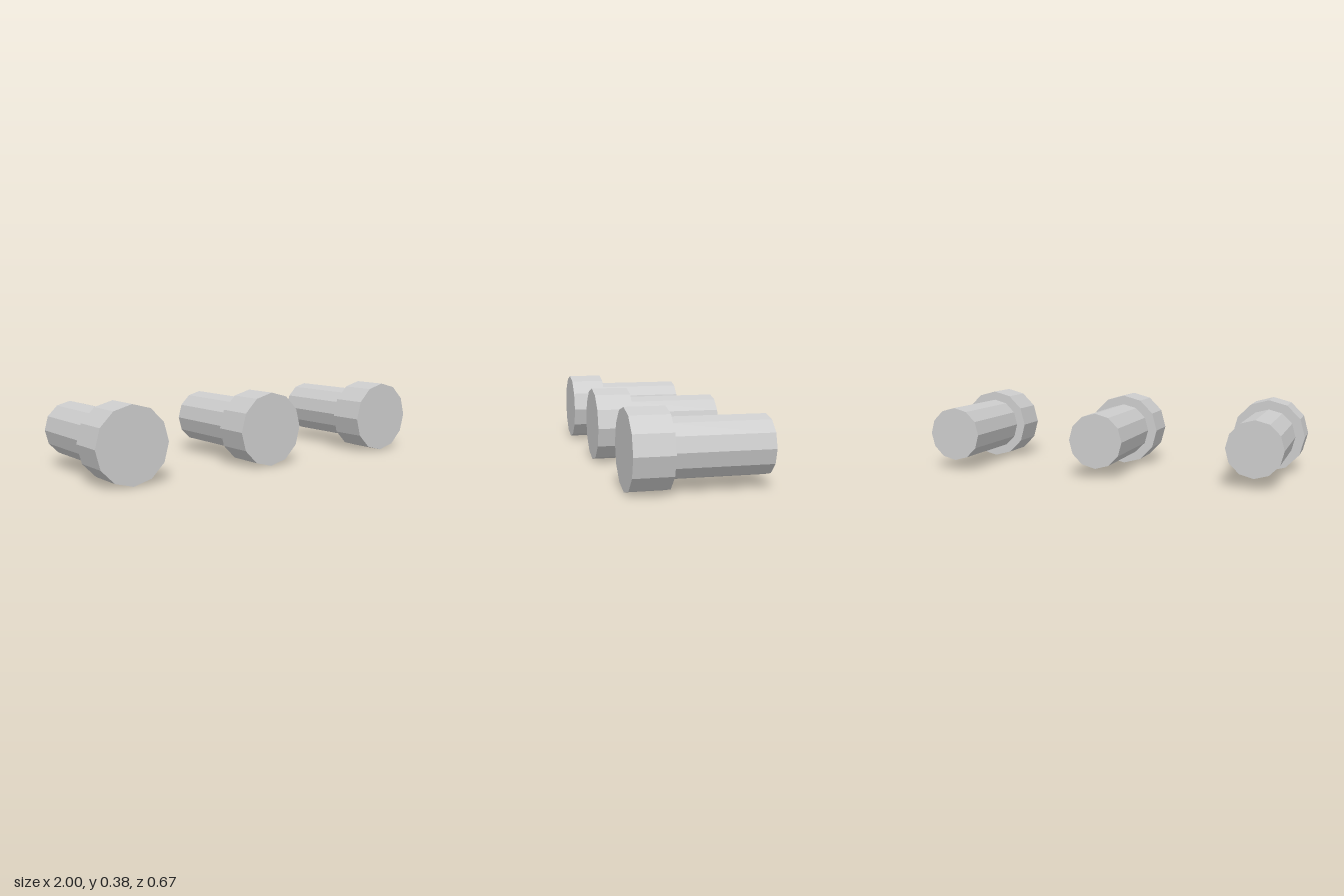
import * as THREE from 'three';

const SIDES = 12;
const HEAD_RADIUS = 0.191;
const SHAFT_RADIUS = 0.142;
const FRONT = 0.333, SHOULDER = 0.144, BACK = -0.333;
const SPACING = 0.809;

export function createModel() {
  const model = new THREE.Group();
  model.name = 'pegs';
  const material = new THREE.MeshStandardMaterial({ color: 0xcccccc, flatShading: true });

  // Twelve-sided cylinder lying along z between two depths
  const rod = (name, radius, z0, z1) => {
    const geometry = new THREE.CylinderGeometry(radius, radius, z1 - z0, SIDES);
    geometry.rotateX(Math.PI / 2);
    geometry.translate(0, 0, (z0 + z1) / 2);
    const mesh = new THREE.Mesh(geometry, material);
    mesh.name = name;
    return mesh;
  };

  // Three identical pegs in a row: wide head in front, narrower shaft behind
  ['rightPeg', 'middlePeg', 'leftPeg'].forEach((name, i) => {
    const peg = new THREE.Group();
    peg.name = name;
    peg.add(rod('head', HEAD_RADIUS, SHOULDER, FRONT));
    peg.add(rod('shaft', SHAFT_RADIUS, BACK, SHOULDER));
    peg.position.set((i - 1) * SPACING, HEAD_RADIUS, 0);
    model.add(peg);
  });

  return model;
}
